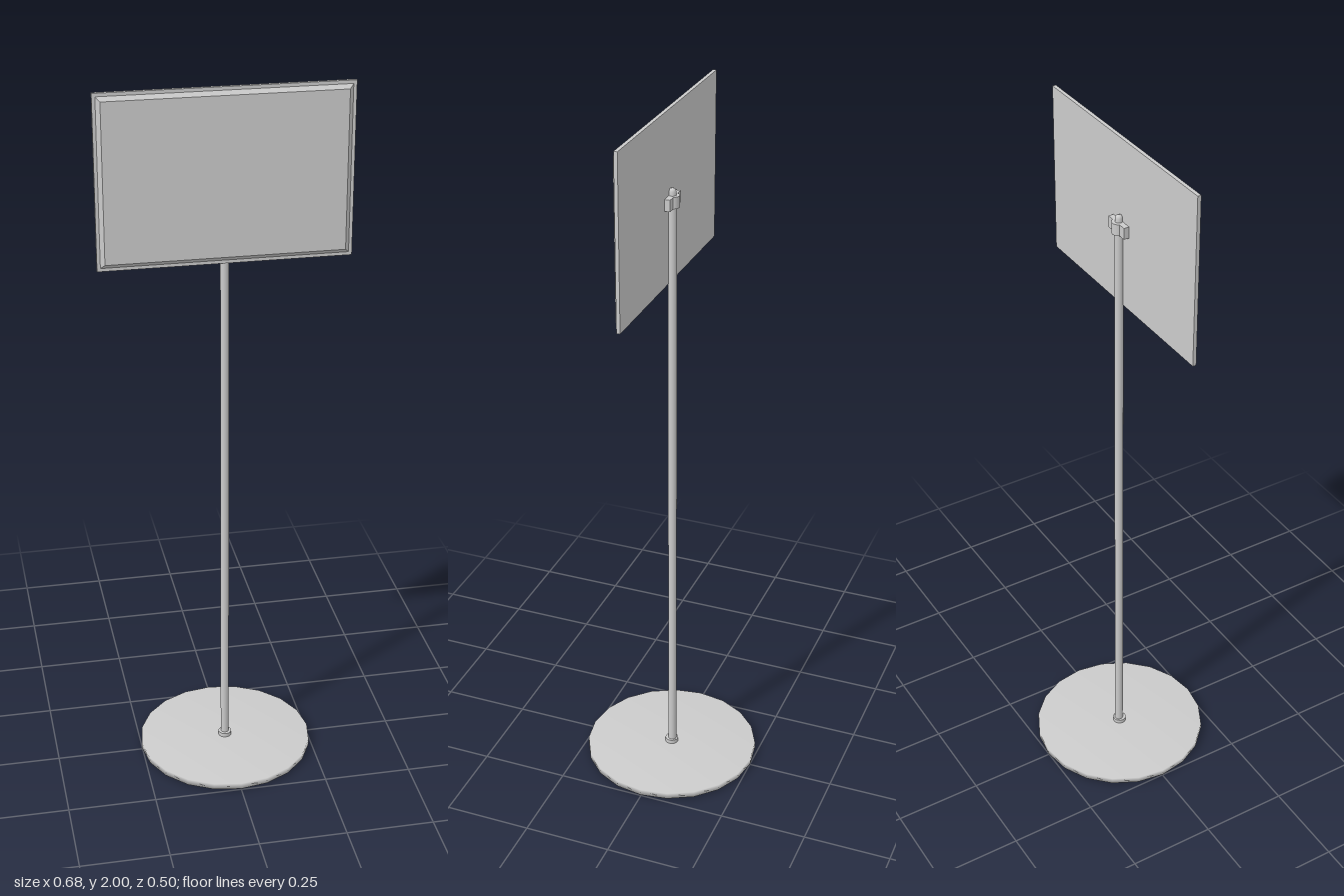
import * as THREE from 'three';

const V = (x, y) => new THREE.Vector2(x, y);

export function createModel() {
  const group = new THREE.Group();
  const material = new THREE.MeshStandardMaterial({ color: 0xcccccc });

  const add = (name, geometry, x = 0, y = 0, z = 0) => {
    const mesh = new THREE.Mesh(geometry, material);
    mesh.name = name;
    mesh.position.set(x, y, z);
    group.add(mesh);
    return mesh;
  };
  const lathe = (points, sides) =>
    new THREE.LatheGeometry(points.map(([r, y]) => V(r, y)), sides);

  // Round foot, softly shaded over its rim
  add('base', lathe([[0, 0.004], [0.252, 0.004], [0.252, 0.022], [0, 0.022]], 20));

  // Collar where the pole meets the foot
  add('baseCollar', new THREE.CylinderGeometry(0.019, 0.019, 0.012, 16), 0, 0.028, 0);

  // Pole, running through the foot, with a domed tip
  add('pole', new THREE.CylinderGeometry(0.012, 0.012, 1.772, 16), 0, 0.886, -0.002);
  add('poleTip', lathe([[0.01, 0], [0.01, 0.013], [0.007, 0.019], [0, 0.022]], 16),
    0, 1.77, -0.002);

  // Clamp: two flat ears and a half-round bulge behind the pole
  const outline = new THREE.Shape();
  outline.moveTo(-0.038, -0.006);
  outline.lineTo(0.038, -0.006);
  outline.lineTo(0.038, 0.01);
  outline.lineTo(0.019, 0.01);
  outline.absarc(0, 0.003, 0.018, 0.4, Math.PI - 0.4, false);
  outline.lineTo(-0.019, 0.01);
  outline.lineTo(-0.038, 0.01);
  const clamp = new THREE.ExtrudeGeometry(outline,
    { depth: 0.032, bevelEnabled: false, curveSegments: 8 });
  clamp.rotateX(-Math.PI / 2);
  add('clamp', clamp, 0, 1.74, 0);

  // Sign board: full-size back plate with a chamfered front panel
  const width = 0.682, height = 0.472, centreY = 1.764;
  add('signBack', new THREE.BoxGeometry(width, height, 0.01), 0, centreY, 0.01);

  const panel = new THREE.BoxGeometry(width - 0.018, height - 0.018, 0.01);
  const p = panel.attributes.position;
  for (let i = 0; i < p.count; i++) {
    if (p.getZ(i) > 0) {
      p.setX(i, p.getX(i) - Math.sign(p.getX(i)) * 0.011);
      p.setY(i, p.getY(i) - Math.sign(p.getY(i)) * 0.011);
    }
  }
  panel.computeVertexNormals();
  add('signPanel', panel, 0, centreY, 0.02);

  return group;
}
